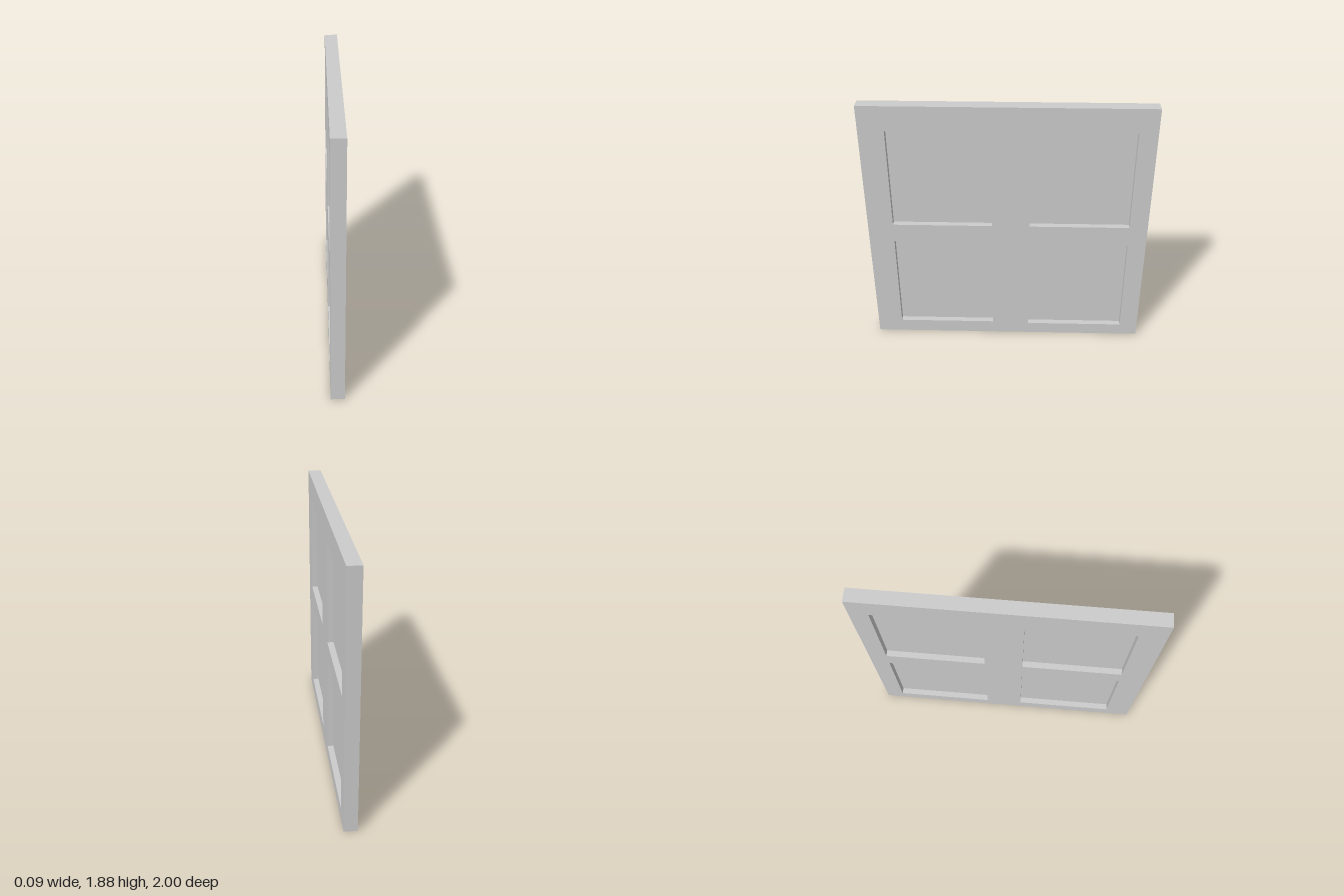
import * as THREE from 'three';

const HEIGHT = 1.885, DEPTH = 0.095, PANE = 0.008;

// Openings, seen from +x: u runs along -z
const OPENINGS = [
  { u: -0.82, v: 0.975 },
  { u: 0.16, v: 0.975 },
  { u: -0.82, v: 0.10 },
  { u: 0.16, v: 0.09 },
];
const OPEN_W = 0.71, OPEN_H = 0.735;

function rectangle(Type, u, v, w, h) {
  const path = new Type();
  path.moveTo(u, v);
  path.lineTo(u + w, v);
  path.lineTo(u + w, v + h);
  path.lineTo(u, v + h);
  path.closePath();
  return path;
}

export function createModel() {
  const group = new THREE.Group();
  group.name = 'window';
  const grey = new THREE.MeshStandardMaterial({ color: 0xcccccc });
  grey.name = 'grey';

  // Frame with four openings
  const outline = rectangle(THREE.Shape, -1, 0, 2, HEIGHT);
  for (const { u, v } of OPENINGS) outline.holes.push(rectangle(THREE.Path, u, v, OPEN_W, OPEN_H));
  const frameGeometry = new THREE.ExtrudeGeometry(outline, { depth: DEPTH, bevelEnabled: false });
  frameGeometry.translate(0, 0, -DEPTH / 2);
  frameGeometry.rotateY(Math.PI / 2);
  const frame = new THREE.Mesh(frameGeometry, grey);
  frame.name = 'frame';
  group.add(frame);

  // Thin panes set midway through the frame
  OPENINGS.forEach(({ u, v }, i) => {
    const pane = new THREE.Mesh(new THREE.BoxGeometry(PANE, OPEN_H, OPEN_W), grey);
    pane.position.set(0, v + OPEN_H / 2, -(u + OPEN_W / 2));
    pane.name = `pane${i + 1}`;
    group.add(pane);
  });

  return group;
}
